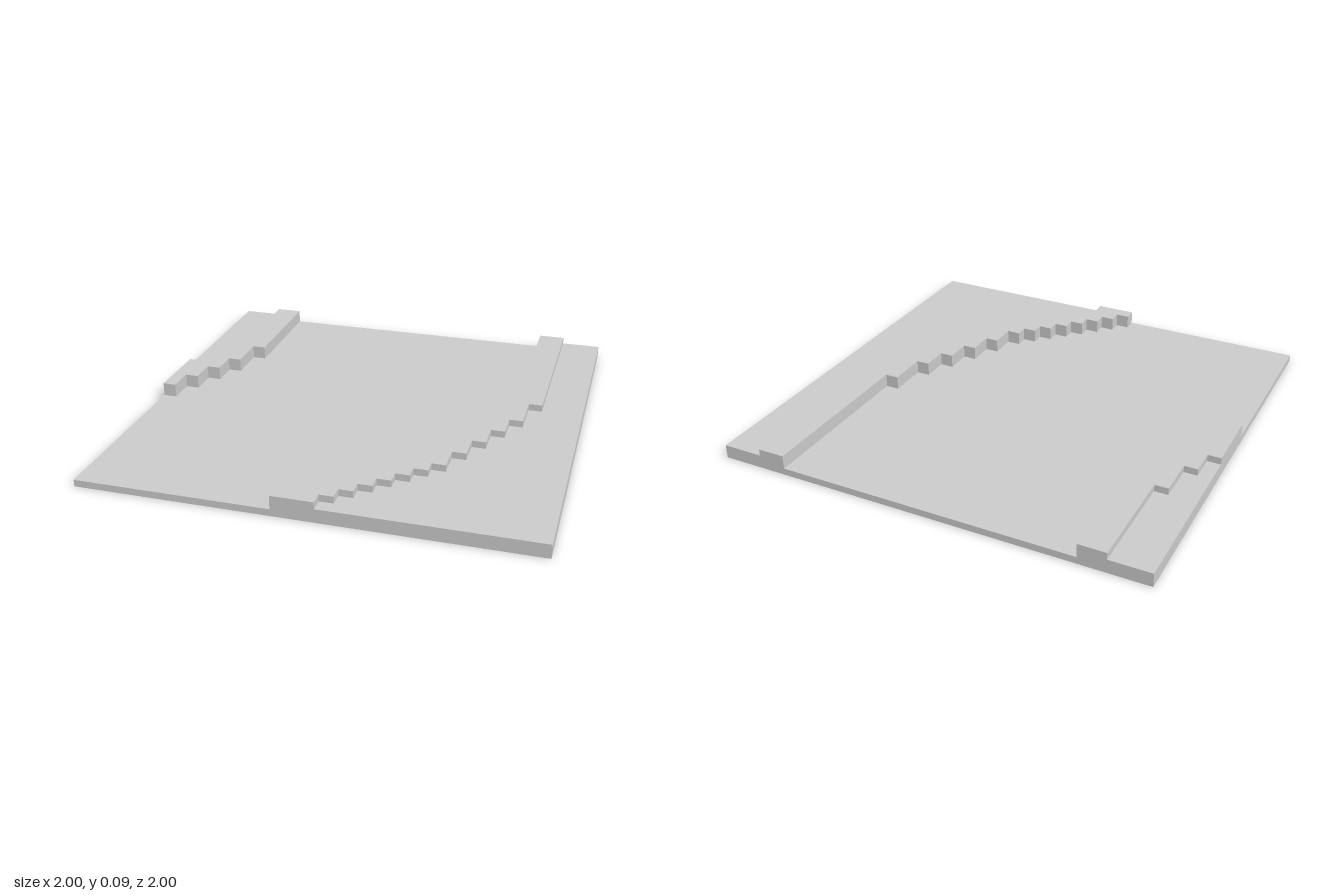
import * as THREE from 'three';

const CELL = 1 / 16;      // plan grid: 32 x 32 cells
const LAYER = 1 / 32;     // height of one layer

// Stepped edge from the back (z = -16) forwards: one cell towards -x after each end
function steps(startX, ends) {
  const points = [];
  let z = -16;
  ends.forEach((end, i) => {
    points.push([startX - i, z], [startX - i, end]);
    z = end;
  });
  return points;
}

// Flat slab from an [x, z] outline in cells, resting on the given layer
function slab(name, outline, level, material) {
  const shape = new THREE.Shape(outline.map(([x, z]) => new THREE.Vector2(x * CELL, z * CELL)));
  const geometry = new THREE.ExtrudeGeometry(shape, { depth: LAYER, bevelEnabled: false });
  geometry.rotateX(Math.PI / 2).translate(0, (level + 1) * LAYER, 0);
  const mesh = new THREE.Mesh(geometry, material);
  mesh.name = name;
  return mesh;
}

export function createModel() {
  const group = new THREE.Group();
  group.name = 'curvedRoadTile';
  const material = new THREE.MeshStandardMaterial({ color: 0xcccccc, flatShading: true });

  // Stepped curve edges: road side and outer side of each kerb
  const leftInner = [...steps(13, [-2, 1, 3, 5, 7, 9, 10, 11, 12, 13, 14, 15, 16])];
  const leftRoad = steps(11, [-3, 0, 2, 4, 6, 8, 9, 10, 11, 12, 13, 14, 15, 16]);
  const rightRoad = steps(-11, [-7, -4, -2, 0, 2]);
  const rightInner = steps(-13, [-8, -5, -3]);

  // Road surface
  group.add(slab('roadBase', [[-16, -16], [16, -16], [16, 16], [-16, 16]], 0, material));

  // Pavements, running beneath the kerbs
  group.add(slab('leftPavement', [...leftRoad, [16, 16], [16, -16]], 1, material));
  group.add(slab('rightPavement', [...rightRoad, [-16, 2], [-16, -16]], 1, material));

  // Raised kerbs
  group.add(slab('leftKerb', [...leftRoad, ...leftInner.reverse()], 2, material));
  group.add(slab('rightKerb', [...rightRoad, [-16, 2], [-16, -3], ...rightInner.reverse()], 2, material));

  return group;
}
